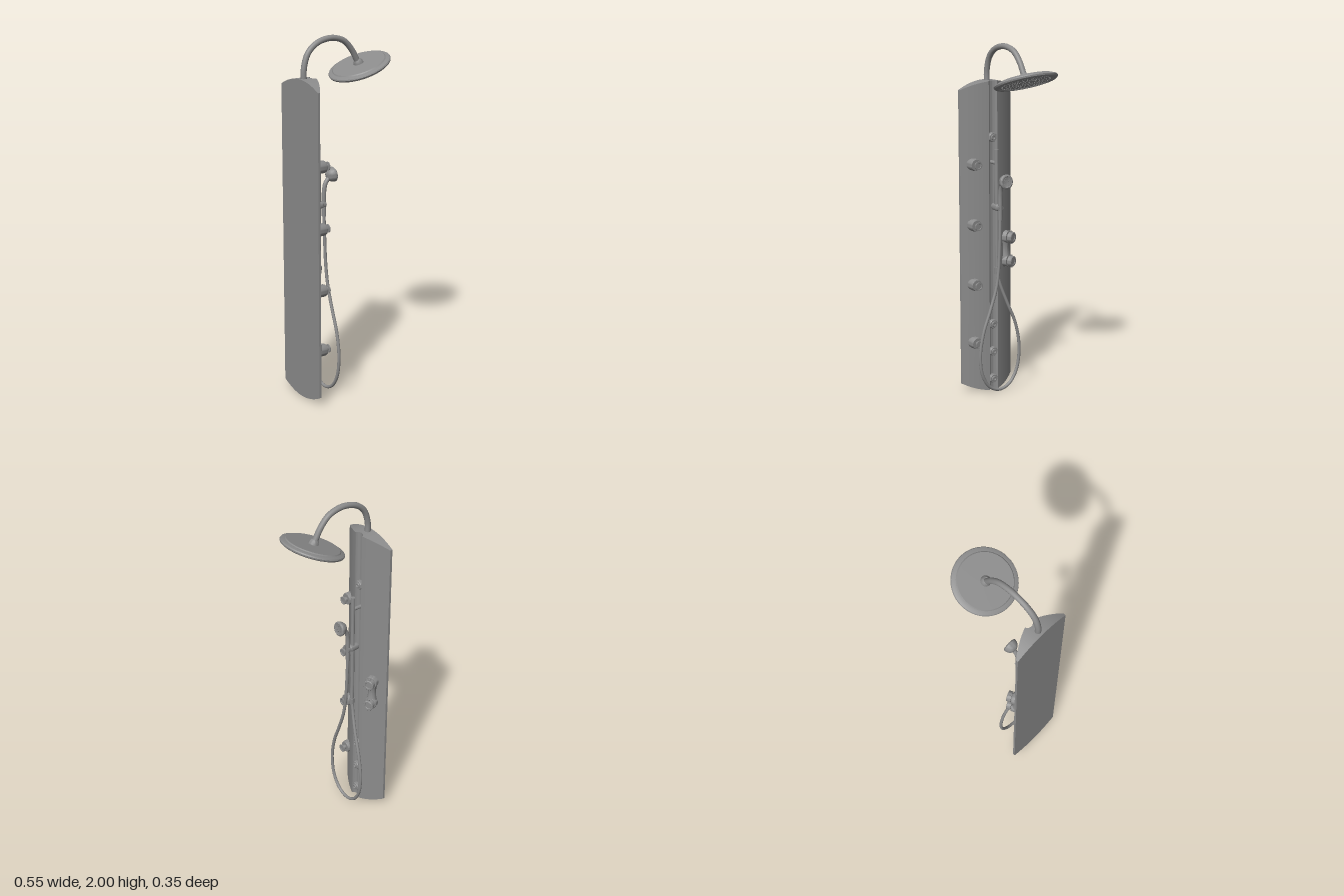
import * as THREE from 'three';
import { toCreasedNormals, mergeGeometries } from 'three/addons/utils/BufferGeometryUtils.js';

const metal = new THREE.MeshStandardMaterial({ color: 0x8c8c8c });
const v3 = (p) => new THREE.Vector3(...p);

function add(parent, name, geo, x = 0, y = 0, z = 0) {
  const mesh = new THREE.Mesh(geo, metal);
  mesh.name = name;
  mesh.position.set(x, y, z);
  parent.add(mesh);
  return mesh;
}

function group(parent, name, x, y, z) {
  const g = new THREE.Group();
  g.name = name;
  g.position.set(x, y, z);
  parent.add(g);
  return g;
}

// Turned part: [radius, height] profile around y
function turned(profile, sides = 32) {
  const geo = new THREE.LatheGeometry(profile.map((p) => new THREE.Vector2(...p)), sides);
  return toCreasedNormals(geo, 0.6);
}
// Turned part lying along +x
const turnedX = (profile, sides) => turned(profile, sides).rotateZ(-Math.PI / 2);

const pipe = (points, radius, steps = 64) =>
  new THREE.TubeGeometry(new THREE.CatmullRomCurve3(points.map(v3)), steps, radius, 14);

// Front surface of the panel: bowed flanks and a round centre channel
const CHANNEL = 0.028, HALF = 0.17;
function frontX(z) {
  const a = Math.abs(z);
  if (a < CHANNEL) return -0.187 - 0.02 * Math.sqrt(1 - (a / CHANNEL) ** 2);
  const t = (a - CHANNEL) / (HALF - CHANNEL);
  return -0.187 - 0.047 * t - 0.028 * t * t;
}

// Panel lofted across z from four-cornered sections with arched ends
function panelGeometry() {
  const half = [];
  for (let i = 0; i <= 8; i++) half.push(CHANNEL * Math.sin((i / 8) * Math.PI / 2));
  for (let i = 1; i <= 14; i++) half.push(CHANNEL + (HALF - CHANNEL) * i / 14);
  const stations = [...half.slice(1).reverse().map((z) => -z), ...half];
  const pos = [], idx = [];
  stations.forEach((z, s) => {
    const lift = 0.047 * (z / HALF) ** 2, f = frontX(z), b = -0.275;
    pos.push(b, lift, z, f, lift, z, f, 1.787 - lift, z, b, 1.787 - lift, z);
    if (s === 0) return;
    for (let k = 0; k < 4; k++) {
      const a = (s - 1) * 4 + k, c = (s - 1) * 4 + (k + 1) % 4;
      idx.push(a, c, a + 4, c, c + 4, a + 4);
    }
  });
  const e = (stations.length - 1) * 4;
  idx.push(0, 2, 1, 0, 3, 2, e, e + 1, e + 2, e, e + 2, e + 3);
  const geo = new THREE.BufferGeometry();
  geo.setAttribute('position', new THREE.Float32BufferAttribute(pos, 3));
  geo.setIndex(idx);
  return toCreasedNormals(geo, 0.5);
}

// Rings of small spray nozzles, pointing along -y from height y
function nozzles(rings, y, size) {
  const parts = [];
  for (const [radius, count] of rings) {
    for (let i = 0; i < count; i++) {
      const a = (i / count) * Math.PI * 2;
      parts.push(new THREE.CylinderGeometry(size, size * 0.7, 0.006, 6)
        .translate(radius * Math.cos(a), y, radius * Math.sin(a)));
    }
  }
  return mergeGeometries(parts);
}

export function createModel() {
  const model = new THREE.Group();
  model.name = 'showerPanel';
  add(model, 'panel', panelGeometry());

  // Overhead arm and tilted rain head
  add(model, 'overheadArm', pipe([
    [-0.245, 1.75, 0], [-0.245, 1.84, 0], [-0.218, 1.918, 0], [-0.16, 1.966, 0], [-0.072, 1.984, 0],
    [0.008, 1.963, 0], [0.06, 1.912, 0], [0.088, 1.865, 0], [0.103, 1.835, 0],
  ], 0.016));
  const rain = group(model, 'rainHead', 0.113, 1.818, 0);
  rain.rotation.z = 0.36;
  add(rain, 'rainDisc', turned([
    [0, -0.01], [0.03, -0.01], [0.032, -0.012], [0.036, -0.012], [0.038, -0.01], [0.146, -0.01],
    [0.15, -0.015], [0.162, -0.015], [0.17, -0.01], [0.173, -0.002], [0.17, 0.004], [0.16, 0.008],
    [0.149, 0.01], [0.144, 0.015], [0, 0.016],
  ], 64));
  add(rain, 'rainSocket', turned([[0.028, 0.012], [0.027, 0.02], [0.021, 0.034], [0.015, 0.042]]));
  add(rain, 'rainNozzles', nozzles([
    [0.02, 8], [0.055, 24], [0.073, 24], [0.091, 24], [0.109, 24], [0.13, 48],
  ], -0.011, 0.003));

  // Body jets on the left flank
  for (const y of [0.297, 0.641, 0.986, 1.33]) {
    add(model, 'bodyJet', turnedX([
      [0, -0.268], [0.034, -0.268], [0.034, -0.202], [0.031, -0.194], [0.013, -0.194],
      [0.013, -0.177], [0.023, -0.176], [0.023, -0.17], [0.016, -0.17], [0.014, -0.173], [0, -0.173],
    ]), 0, y, 0.108);
  }

  // Small jets in the centre channel
  for (const y of [0.065, 0.23, 0.395, 1.475]) {
    add(model, 'channelJet', turnedX([
      [0, -0.21], [0.026, -0.21], [0.026, -0.19], [0.023, -0.186], [0.016, -0.186],
      [0.014, -0.18], [0.008, -0.18], [0.006, -0.184], [0, -0.184],
    ]), 0, y, 0);
  }

  // Mixer on the right flank: two knobs joined by a waisted bridge
  const mixer = group(model, 'mixer', -0.232, 0.82, -0.095);
  mixer.rotation.y = 0.436;
  add(mixer, 'mixerBridge', turned([
    [0, -0.07], [0.032, -0.06], [0.025, -0.03], [0.022, 0], [0.025, 0.03], [0.032, 0.06], [0, 0.07],
  ]), 0.016, 0, 0);
  for (const s of [-1, 1]) {
    add(mixer, 'mixerKnob', turnedX([
      [0, -0.015], [0.036, -0.015], [0.036, 0.038], [0.034, 0.041], [0.024, 0.041],
      [0.024, 0.045], [0.031, 0.046], [0.031, 0.068], [0.028, 0.071], [0.018, 0.071], [0.016, 0.068], [0, 0.068],
    ]), 0, s * 0.07, 0);
    for (const x of [0.022, 0.057]) {
      add(mixer, 'knobPin', new THREE.CylinderGeometry(0.006, 0.006, 0.074, 12), x, s * 0.07, 0);
    }
  }

  // Slide rail with its standoff
  add(model, 'slideRail', turned([[0, 0.72], [0.011, 0.72], [0.011, 1.41], [0, 1.412]], 20), -0.155, 0, 0);
  add(model, 'railStandoff', turnedX([[0, -0.21], [0.01, -0.21], [0.01, -0.155], [0, -0.155]], 20), 0, 1.335, 0);

  // Sliding holder
  add(model, 'handsetHolder', turnedX([
    [0, -0.186], [0.018, -0.186], [0.02, -0.18], [0.02, -0.138], [0.017, -0.134], [0.017, -0.115], [0, -0.113],
  ], 24), 0, 1.087, 0);

  // Hand shower
  add(model, 'handsetHandle', pipe([
    [-0.122, 1.02, 0], [-0.122, 1.1, 0], [-0.12, 1.165, 0], [-0.111, 1.202, 0], [-0.085, 1.235, 0],
  ], 0.012, 32));
  const handset = group(model, 'handsetHead', -0.076, 1.244, 0);
  handset.rotation.z = 0.12;
  add(handset, 'handsetBell', turnedX([
    [0, -0.027], [0.013, -0.025], [0.025, -0.019], [0.034, -0.009], [0.039, 0.002], [0.041, 0.012], [0.041, 0.017],
    [0.037, 0.021], [0.032, 0.023], [0.029, 0.021], [0, 0.021],
  ]));
  add(handset, 'handsetNozzles', nozzles([[0.01, 6], [0.021, 12]], -0.022, 0.0025).rotateZ(Math.PI / 2));

  // Hose: hangs from the handle and loops back up to the rail foot
  add(model, 'hose', pipe([
    [-0.122, 1.03, 0], [-0.121, 0.9, 0.004], [-0.12, 0.75, 0.012], [-0.119, 0.63, 0.03], [-0.12, 0.5, 0.073],
    [-0.121, 0.38, 0.117], [-0.122, 0.24, 0.139], [-0.122, 0.12, 0.12], [-0.122, 0.045, 0.067],
    [-0.122, 0.022, 0], [-0.122, 0.05, -0.067], [-0.122, 0.13, -0.115], [-0.122, 0.26, -0.13],
    [-0.125, 0.4, -0.106], [-0.137, 0.53, -0.056], [-0.15, 0.64, -0.018], [-0.155, 0.73, 0],
  ], 0.009, 200));
  add(model, 'hoseFitting', turned([[0, 0.7], [0.013, 0.7], [0.015, 0.74], [0, 0.74]], 20), -0.155, 0, 0);
  return model;
}
